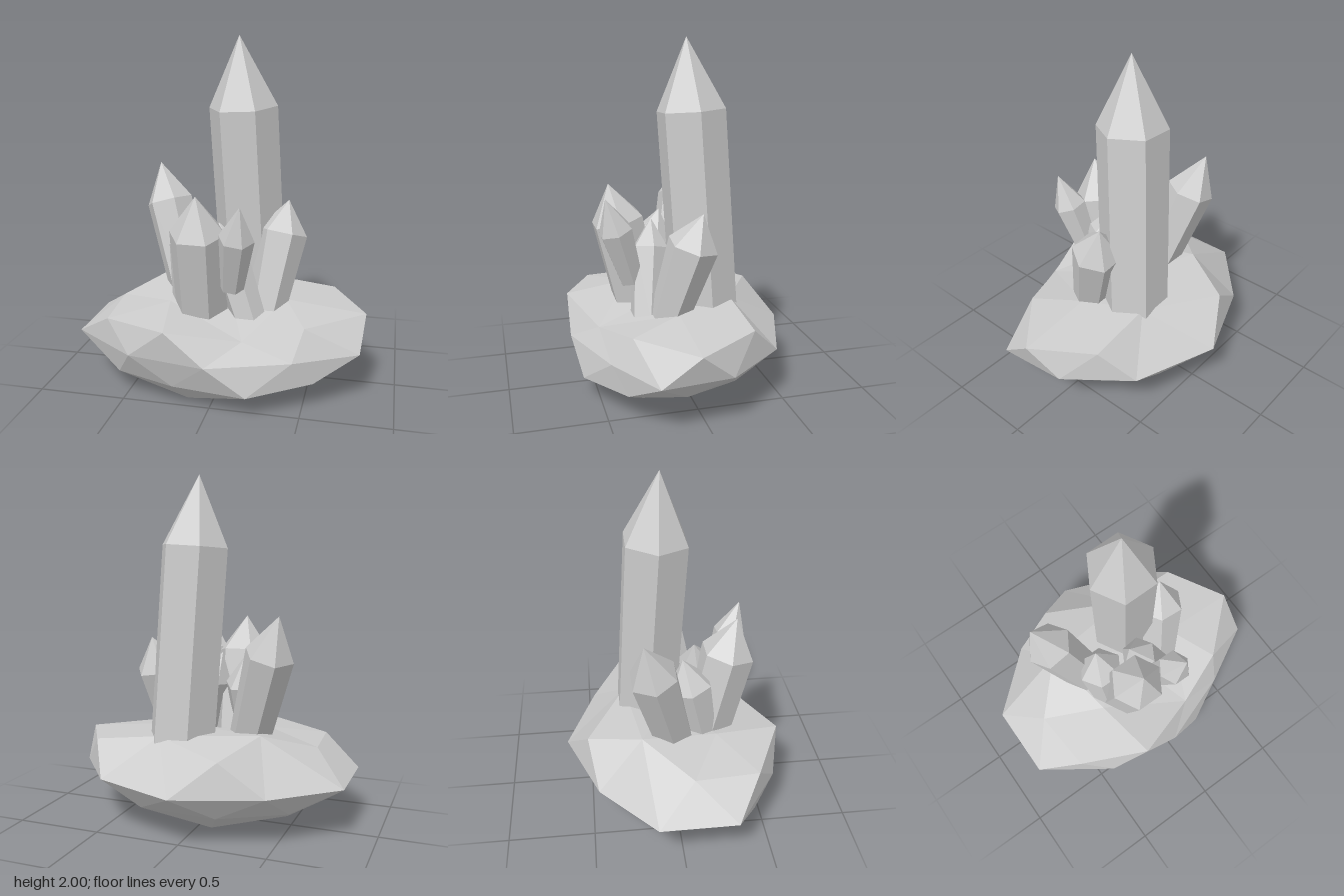
import * as THREE from 'three';
import { ConvexGeometry } from 'three/addons/geometries/ConvexGeometry.js';

const stone = new THREE.MeshStandardMaterial({ color: 0xcccccc, flatShading: true });
stone.name = 'pale grey stone';

const V = (p) => new THREE.Vector3(...p);

// Hexagonal crystal: a shaft widening from r0 to r1, closed by a pointed tip.
function crystal(name, base, apex, r0, r1, tip, sink = 0.08) {
  const axis = V(apex).sub(V(base));
  const height = axis.length();
  axis.normalize();
  const profile = [[0, -sink], [r0, -sink], [r1, height - tip], [0, height]]
    .map(([x, y]) => new THREE.Vector2(x, y));
  const geometry = new THREE.LatheGeometry(profile, 6);
  geometry.rotateY(Math.PI / 6);
  const mesh = new THREE.Mesh(geometry, stone);
  mesh.name = name;
  mesh.position.set(...base);
  mesh.quaternion.setFromUnitVectors(new THREE.Vector3(0, 1, 0), axis);
  return mesh;
}

// Faceted rock: rings of corners from the underside to the top.
function rock() {
  const underside = [
    [-0.45, 0.01, 0.1], [-0.14, 0.005, 0.42], [0.35, 0.03, 0.28],
    [0.3, 0.03, -0.1], [-0.1, 0.02, -0.25], [0, 0, 0.1],
  ];
  const lowerRing = [
    [0.56, 0.16, 0.4], [0.22, 0.13, 0.59], [-0.2, 0.13, 0.54], [-0.54, 0.14, 0.44],
    [-0.69, 0.16, 0.07], [-0.55, 0.16, -0.25], [-0.2, 0.16, -0.46],
    [0.25, 0.16, -0.44], [0.53, 0.16, -0.2], [0.64, 0.16, 0.1],
  ];
  const middleRing = [
    [0, 0.3, -0.64], [0.49, 0.3, -0.46], [0.76, 0.3, -0.12], [0.8, 0.3, 0.28],
    [0.45, 0.3, 0.47], [0, 0.3, 0.63], [-0.44, 0.3, 0.56], [-0.83, 0.3, 0.29],
    [-0.83, 0.3, -0.15], [-0.48, 0.3, -0.46],
  ];
  const upperRing = [
    [0.82, 0.46, 0.07], [0.5, 0.46, 0.36], [0.18, 0.41, 0.49], [-0.22, 0.48, 0.62],
    [-0.6, 0.455, 0.44], [-0.63, 0.46, 0.07], [-0.23, 0.49, -0.51], [0.61, 0.48, -0.28],
  ];
  const top = [
    [-0.37, 0.57, -0.2], [0.21, 0.53, -0.27], [0.36, 0.51, 0.07], [-0.29, 0.51, 0.24], [0, 0.53, 0],
  ];
  const corners = [underside, lowerRing, middleRing, upperRing, top].flat().map(V);

  // Join the corners as if they lay on a ball, then put each back in place, which allows hollows.
  const onBall = corners.map(({ x, y, z }) => new THREE.Vector3(x, (y - 0.29) * 2.2, z * 1.25).normalize());
  const geometry = new ConvexGeometry(onBall);
  const position = geometry.attributes.position;
  const p = new THREE.Vector3();
  for (let i = 0; i < position.count; i++) {
    p.fromBufferAttribute(position, i);
    const distances = onBall.map((q) => q.distanceToSquared(p));
    const corner = corners[distances.indexOf(Math.min(...distances))];
    position.setXYZ(i, corner.x, corner.y, corner.z);
  }
  geometry.computeVertexNormals();
  const mesh = new THREE.Mesh(geometry, stone);
  mesh.name = 'rock base';
  return mesh;
}

export function createModel() {
  const model = new THREE.Group();
  model.name = 'crystal cluster';
  model.add(
    rock(),
    crystal('main crystal', [0.125, 0.5, -0.135], [0.05, 2, -0.05], 0.2, 0.2, 0.4),
    crystal('back right crystal', [-0.245, 0.5, -0.01], [-0.465, 1.235, -0.19], 0.12, 0.142, 0.24),
    crystal('front crystal', [-0.11, 0.5, 0.22], [-0.1, 1.17, 0.375], 0.152, 0.16, 0.22),
    // the small front crystal grows off its neighbour, so its foot stays above the rock
    crystal('small front crystal', [0.08, 0.64, 0.28], [0.155, 1.14, 0.435], 0.07, 0.1, 0.2, 0),
    crystal('left crystal', [0.255, 0.5, 0.09], [0.345, 1.07, -0.07], 0.11, 0.145, 0.19),
    crystal('small right crystal', [-0.2, 0.5, 0.16], [-0.2, 0.98, 0.05], 0.09, 0.135, 0.18),
    crystal('small centre crystal', [0.14, 0.5, 0.2], [-0.025, 0.97, 0.14], 0.1, 0.11, 0.17),
  );
  return model;
}
